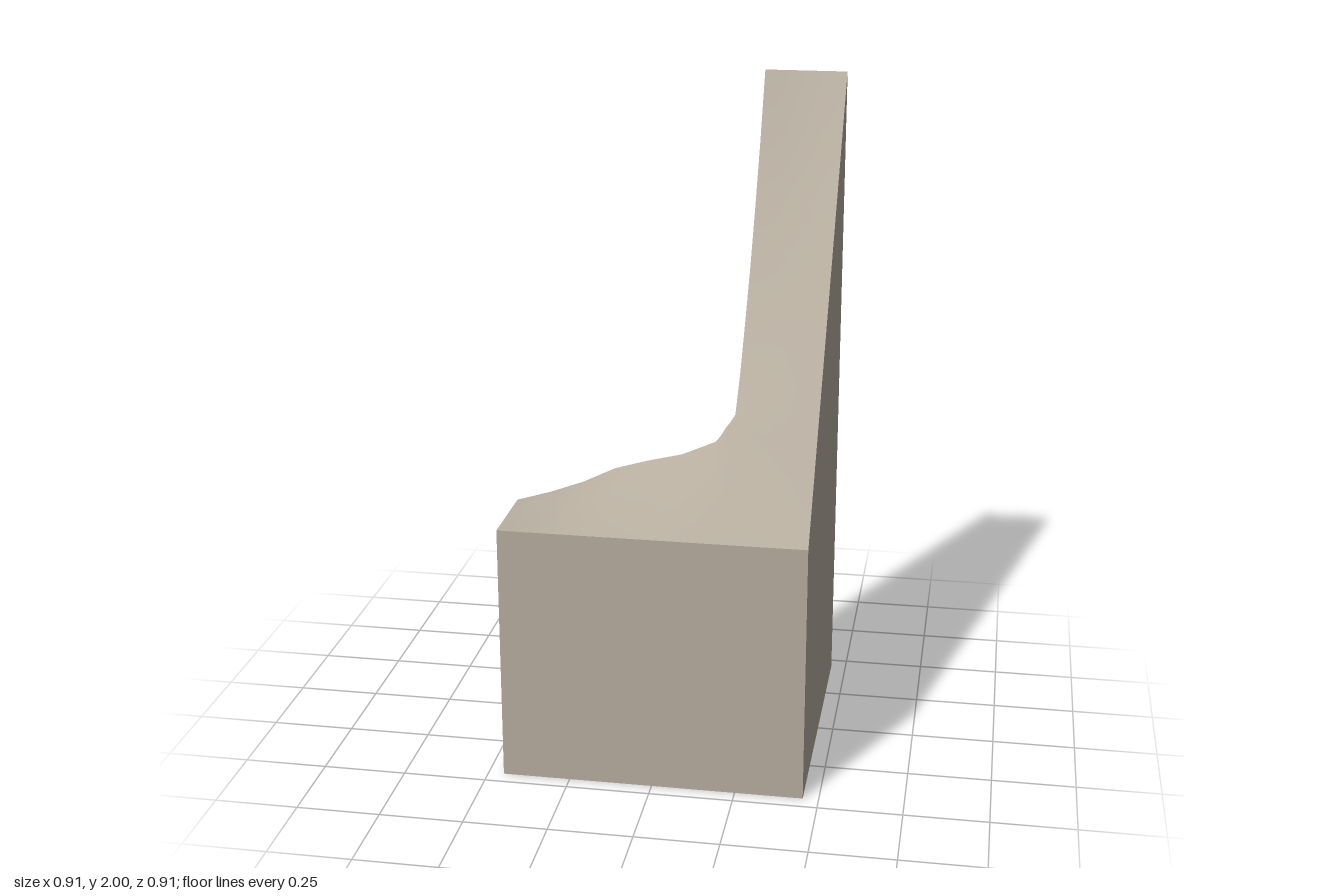
import * as THREE from 'three';

export function createModel() {
  const group = new THREE.Group();
  const stone = new THREE.MeshStandardMaterial({ color: 0xb5ac9e, side: THREE.DoubleSide });
  stone.name = 'warm grey stone';

  const H = 0.453, low = 0.79, high = 2;
  const slope = (z) => low + (high - low) * (H - z) / (2 * H);

  // Stations along the L: [outer x, outer z, inner x, inner z, inner height]
  const stations = [
    // front arm, left end to the corner
    ...[[-H, low], [-0.35, 0.822], [-0.25, 0.86], [-0.15, 0.91], [-0.05, 0.94], [0.05, 0.965], [0.15, 1.01]]
      .map(([x, y]) => [x, H, x, 0.2, y]),
    // chamfered corner
    [0.3, H, 0.163, 0.187, 1.025],
    [H, H, 0.175, 0.175, 1.045],
    [H, 0.3, 0.187, 0.163, 1.06],
    // rear arm, corner to the back end
    ...[[0.15, 1.08], [0.05, 1.18], [-0.05, 1.31], [-0.15, 1.45], [-0.25, 1.61], [-0.35, 1.79], [-H, high]]
      .map(([z, y]) => [H, z, 0.2, z, y]),
  ];
  const outer = stations.map(([x, z]) => new THREE.Vector3(x, slope(z), z));
  const inner = stations.map(([, , x, z, y]) => new THREE.Vector3(x, y, z));

  // Smooth sloping top, ruled from the outer to the inner edge
  const rows = 4, positions = [], index = [];
  outer.forEach((o, i) => {
    for (let j = 0; j <= rows; j++) positions.push(...o.clone().lerp(inner[i], j / rows).toArray());
  });
  for (let i = 0; i < outer.length - 1; i++) {
    for (let j = 0; j < rows; j++) {
      const a = i * (rows + 1) + j, b = a + rows + 1;
      index.push(a, b, b + 1, a, b + 1, a + 1);
    }
  }
  const topGeometry = new THREE.BufferGeometry();
  topGeometry.setAttribute('position', new THREE.Float32BufferAttribute(positions, 3));
  topGeometry.setIndex(index);
  topGeometry.computeVertexNormals();
  const top = new THREE.Mesh(topGeometry, stone);
  top.name = 'slopingTop';
  group.add(top);

  // Upright walls around the L, open underneath
  const loop = [...outer, ...inner.slice().reverse()];
  const wallPositions = [];
  loop.forEach((a, i) => {
    const b = loop[(i + 1) % loop.length];
    const a0 = [a.x, 0, a.z], b0 = [b.x, 0, b.z];
    const a1 = a.toArray(), b1 = b.toArray();
    wallPositions.push(...a0, ...b0, ...b1, ...a0, ...b1, ...a1);
  });
  const wallGeometry = new THREE.BufferGeometry();
  wallGeometry.setAttribute('position', new THREE.Float32BufferAttribute(wallPositions, 3));
  wallGeometry.computeVertexNormals();
  const walls = new THREE.Mesh(wallGeometry, stone);
  walls.name = 'walls';
  group.add(walls);

  return group;
}
